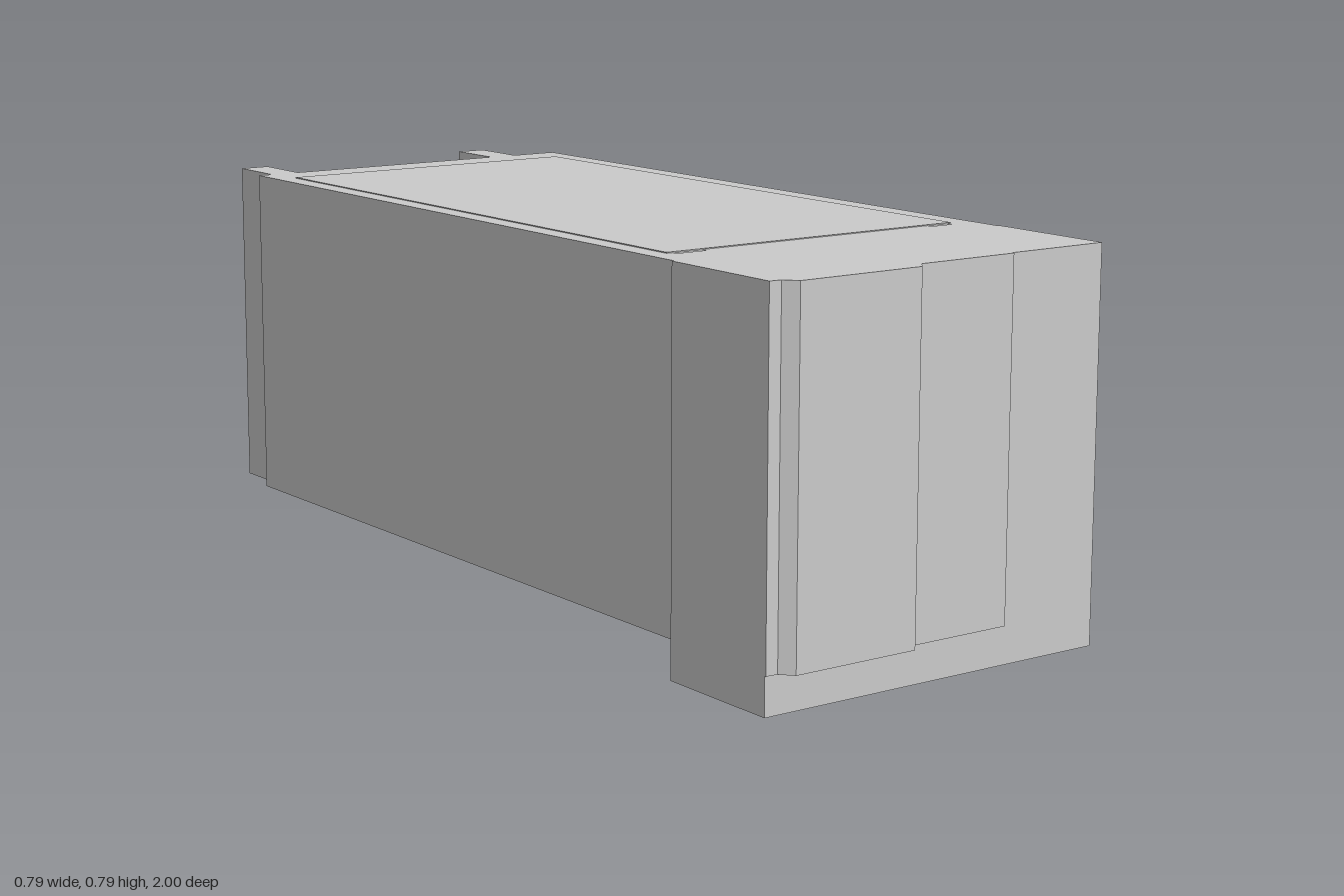
import * as THREE from 'three';

const BOTTOM = 0.077, TOP = 0.783;

// Plan outline in (x, z), extruded upward from y0 to y1
function prism(name, outline, y0, y1, holes = []) {
  const toPoints = (pts) => pts.map(([x, z]) => new THREE.Vector2(x, -z));
  const shape = new THREE.Shape(toPoints(outline));
  holes.forEach((h) => shape.holes.push(new THREE.Path(toPoints(h))));
  const geo = new THREE.ExtrudeGeometry(shape, { depth: y1 - y0, bevelEnabled: false });
  geo.rotateX(-Math.PI / 2).translate(0, y0, 0);
  const mesh = new THREE.Mesh(geo, new THREE.MeshStandardMaterial({ color: 0xcccccc }));
  mesh.name = name;
  return mesh;
}

const rect = (x0, x1, z0, z1) => [[x0, z0], [x1, z0], [x1, z1], [x0, z1]];

export function createModel() {
  const model = new THREE.Group();
  model.name = 'cabinet';

  // Hollow shell: slightly wider front, raised door, two rear rails
  const outline = [
    [-0.397, 0.973], [-0.372, 0.975], [-0.35, 1], [-0.073, 1], [-0.053, 0.975],
    [0.17, 0.975], [0.17, 0.97], [0.397, 0.97], [0.397, 0.69], [0.392, 0.69],
    [0.392, -0.86], [0.285, -0.86], [0.285, -1], [0.22, -1], [0.22, -0.86],
    [-0.295, -0.86], [-0.295, -1], [-0.36, -1], [-0.36, -0.86],
    [-0.392, -0.86], [-0.392, 0.69], [-0.397, 0.69],
  ];

  // Compartments open at the bottom, separated by thin partitions
  const frontBay = [
    [-0.337, 0.145], [0.333, 0.145], [0.333, 0.622], [0.28, 0.622],
    [0.28, 0.606], [-0.268, 0.606], [-0.268, 0.622], [-0.337, 0.622],
  ];
  const bays = [[-0.227, 0.12], [-0.574, -0.252], [-0.755, -0.6]]
    .map(([z0, z1]) => rect(-0.337, 0.333, z0, z1));
  model.add(prism('shell', outline, BOTTOM, TOP, [frontBay, ...bays]));

  // Roof plate closing the compartments
  model.add(prism('roofPlate', rect(-0.35, 0.34, -0.77, 0.61), 0.755, 0.785));
  model.add(prism('roofFrontStrip', rect(-0.345, 0.34, 0.6, 0.63), 0.755, 0.7825));

  // Foot under the front
  model.add(prism('frontFoot', rect(-0.397, 0.397, 0.69, 0.97), 0, BOTTOM));

  return model;
}
